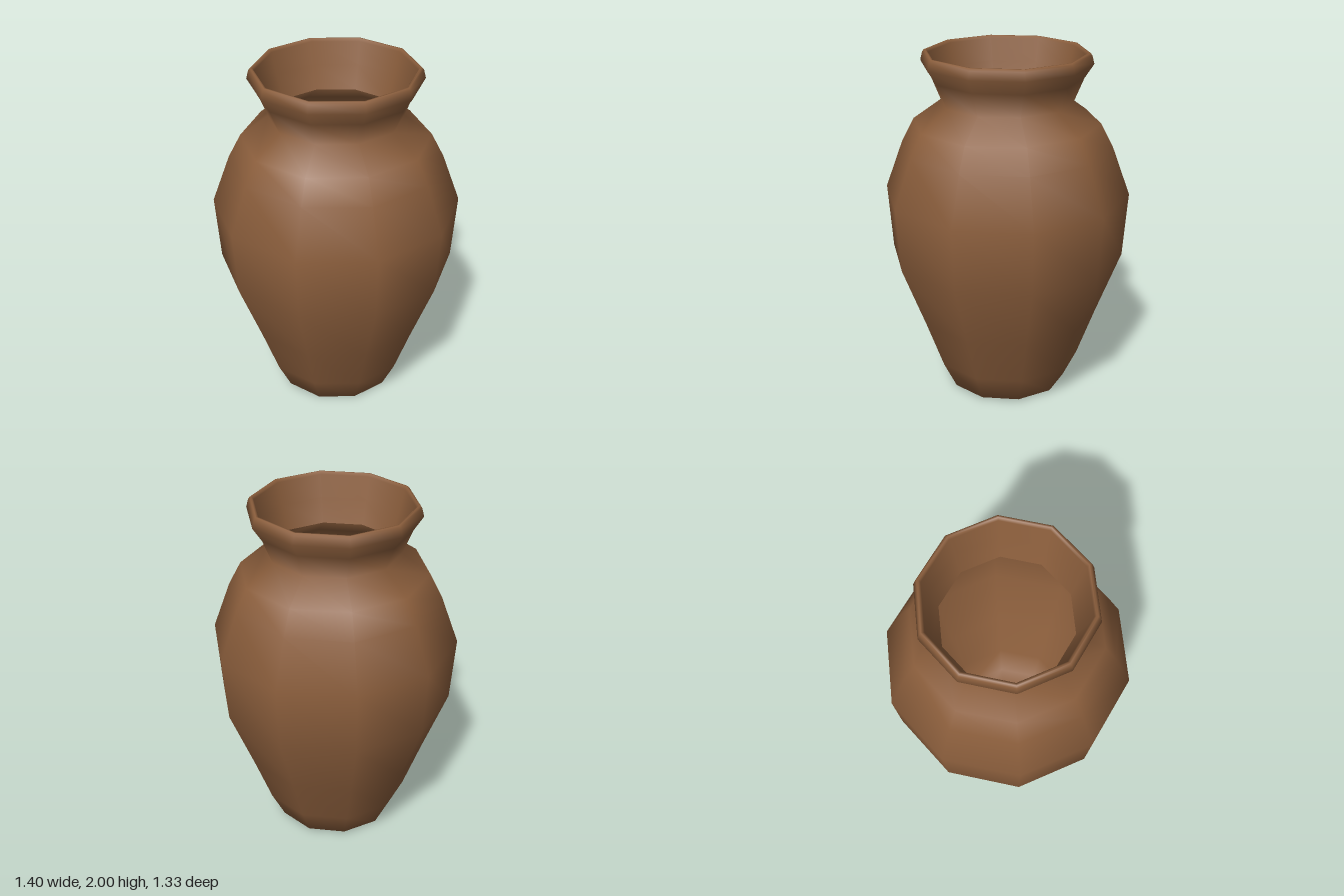
import * as THREE from 'three';

const SIDES = 10;

// Ten-sided turned surface with a corner on the x axis
function turn(name, profile, material) {
  const points = profile.map(([r, y]) => new THREE.Vector2(r, y));
  const mesh = new THREE.Mesh(new THREE.LatheGeometry(points, SIDES, Math.PI / 2), material);
  mesh.name = name;
  return mesh;
}

export function createModel() {
  const group = new THREE.Group();
  group.name = 'vase';

  const clay = new THREE.MeshStandardMaterial({ color: 0x8b5e3c, side: THREE.DoubleSide });
  clay.name = 'brown clay';

  // One continuous wall: foot, belly, shoulder, neck, rolled rim, inner throat
  group.add(turn('vaseBody', [
    [0, 0], [0.25, 0], [0.345, 0.012],                           // foot
    [0.425, 0.175], [0.53, 0.46], [0.672, 0.825], [0.7, 1.195],  // belly
    [0.6, 1.47], [0.53, 1.605], [0.372, 1.72],                   // shoulder
    [0.43, 1.86], [0.482, 1.94],                                 // flared neck
    [0.47, 1.988], [0.46, 2.0], [0.45, 2.0], [0.44, 1.985],      // rim
    [0.41, 1.86], [0.365, 1.72],                                 // throat
  ], clay));

  return group;
}
